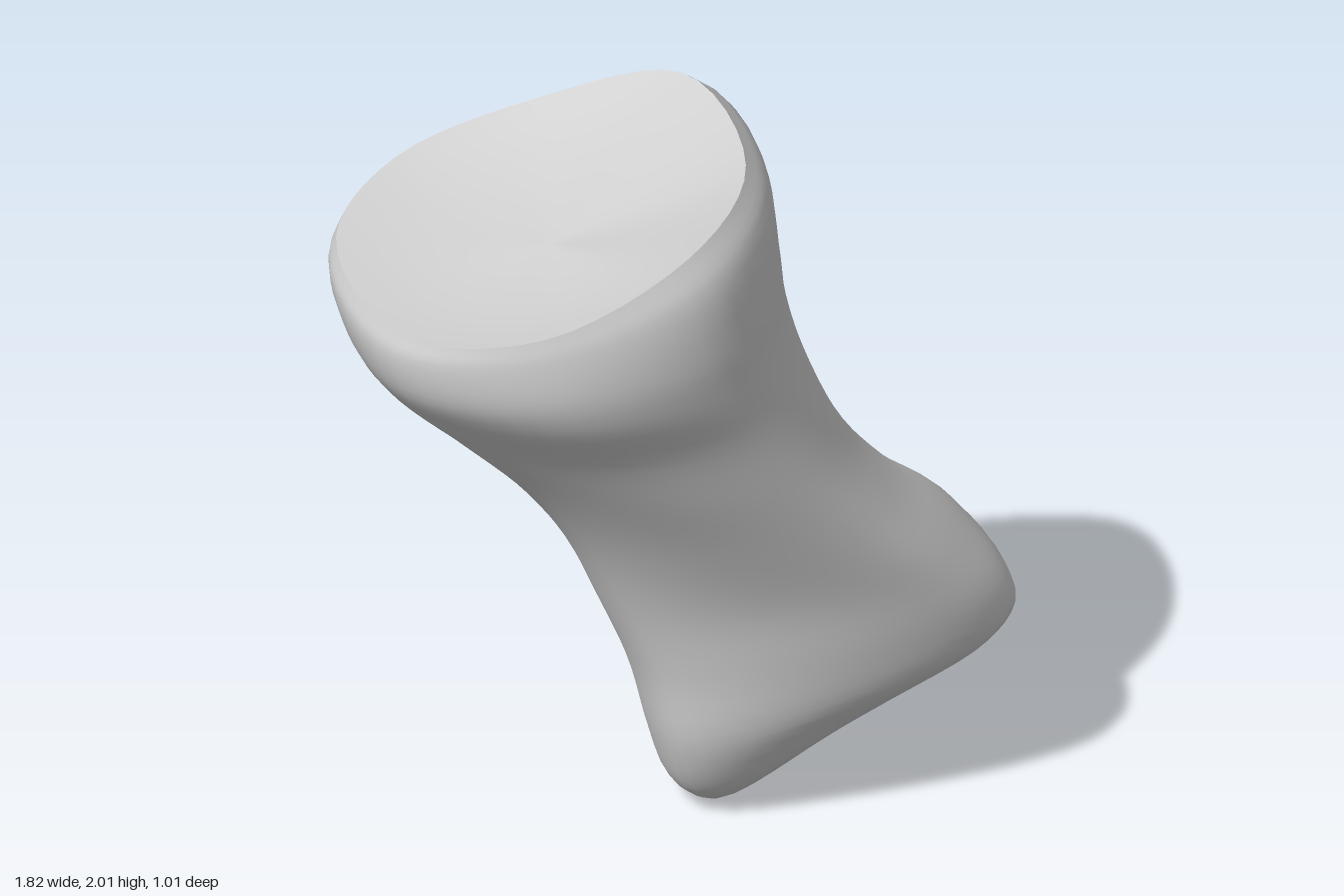
import * as THREE from 'three';
import { mergeVertices } from 'three/addons/utils/BufferGeometryUtils.js';

const COLS = 48, ROWS = 56;
const material = new THREE.MeshStandardMaterial({ color: 0xcccccc });

// Cross-sections from the socket rim down to the condyles:
// left end x,y, right end x,y, then z at left, front x3, right, back x3
const SECTIONS = [
  [-0.89, 1.66, 0.19, 1.92, -0.08, 0.30, 0.47, 0.39, 0.02, -0.36, -0.42, -0.32],
  [-0.91, 1.60, 0.25, 1.84, -0.08, 0.31, 0.49, 0.41, 0.00, -0.42, -0.49, -0.35],
  [-0.87, 1.46, 0.28, 1.66, -0.06, 0.31, 0.50, 0.40, 0.00, -0.41, -0.48, -0.33],
  [-0.79, 1.33, 0.30, 1.50, -0.05, 0.27, 0.47, 0.36, 0.00, -0.37, -0.44, -0.30],
  [-0.62, 1.18, 0.36, 1.30, -0.04, 0.22, 0.375, 0.28, -0.02, -0.31, -0.37, -0.27],
  [-0.43, 1.00, 0.46, 1.08, -0.05, 0.16, 0.295, 0.20, -0.06, -0.30, -0.33, -0.26],
  [-0.30, 0.82, 0.59, 0.90, -0.08, 0.11, 0.22, 0.12, -0.14, -0.35, -0.30, -0.26],
  [-0.20, 0.60, 0.76, 0.72, -0.10, 0.08, 0.15, 0.03, -0.24, -0.49, -0.28, -0.28],
  [-0.12, 0.40, 0.88, 0.57, -0.13, 0.08, 0.12, -0.04, -0.28, -0.48, -0.29, -0.33],
  [-0.07, 0.20, 0.91, 0.48, -0.15, 0.09, 0.09, -0.08, -0.28, -0.41, -0.34, -0.41],
];
// Closing sections of the lower joint surface, ending in a line
const END = [
  [-0.03, 0.08, 0.88, 0.43, -0.16, 0.05, 0.05, -0.10, -0.27, -0.37, -0.36, -0.40],
  [0.03, 0.025, 0.84, 0.41, -0.17, 0.01, 0.01, -0.13, -0.26, -0.34, -0.34, -0.38],
  [0.08, 0.01, 0.81, 0.40, -0.17, -0.05, -0.05, -0.17, -0.26, -0.31, -0.29, -0.33],
  [0.12, 0.00, 0.78, 0.39, -0.18, -0.19, -0.18, -0.24, -0.25, -0.24, -0.18, -0.19],
];
const TILT = [0.28, 0.25, 0.18, 0.1, 0.04]; // back of the socket end stands higher
const RIM = [0, -0.03, 0, 0.08, 0.02, 0.03, 0, 0]; // uneven height of the rim
const RIM_FADE = [1, 0.8, 0.3];
const SADDLE = [0, -0.025, 0.02, 0.01, 0, 0.01, 0.02, -0.025]; // hollow between the condyles

function ring(section, i) {
  const [lx, ly, rx, ry, ...z] = section;
  const end = Math.max(0.09, 0.15 - 0.01 * i); // ends get blunter downward
  const across = [0, end, 0.5, 1 - end, 1, 1 - end, 0.5, end];
  const points = across.map((s, k) => new THREE.Vector3(
    lx + (rx - lx) * s,
    ly + (ry - ly) * s - z[k] * (TILT[i] || 0) + RIM[k] * (RIM_FADE[i] || 0)
      + (i > 9 ? SADDLE[k] : 0),
    z[k]));
  const curve = new THREE.CatmullRomCurve3(points, true);
  return Array.from({ length: COLS }, (_, j) => curve.getPoint(j / COLS));
}

// Skin a list of closed rings
function skin(rings, flip) {
  const index = [];
  for (let i = 0; i < rings.length - 1; i++) {
    for (let j = 0; j < COLS; j++) {
      const k = (j + 1) % COLS;
      const a = i * COLS + j, b = i * COLS + k, c = a + COLS, d = b + COLS;
      if (flip) index.push(a, b, d, a, d, c);
      else index.push(a, c, d, a, d, b);
    }
  }
  const geometry = new THREE.BufferGeometry().setFromPoints(rings.flat());
  geometry.setIndex(index);
  const welded = mergeVertices(geometry, 1e-4);
  welded.computeVertexNormals();
  return welded;
}

export function createModel() {
  const group = new THREE.Group();
  group.name = 'fingerBone';
  const add = (name, geometry) => {
    const mesh = new THREE.Mesh(geometry, material);
    mesh.name = name;
    group.add(mesh);
  };

  // Shaft with flared socket end and two condyles
  const rings = [...SECTIONS, ...END].map(ring);
  const columns = rings[0].map((_, j) =>
    new THREE.CatmullRomCurve3(rings.map((r) => r[j])));
  const smooth = Array.from({ length: ROWS + 1 }, (_, i) =>
    columns.map((curve) => curve.getPoint(i / ROWS)));
  add('shaft', skin(smooth, false));

  // Shallow dished joint socket on top
  const centre = new THREE.Vector3(-0.33, 1.71, 0.03);
  const dish = Array.from({ length: 9 }, (_, i) => {
    const t = i / 8;
    return rings[0].map((p) => {
      const q = p.clone().lerp(centre, t);
      q.y -= 0.08 * t * (1 - t);
      return q;
    });
  });
  add('jointSocket', skin(dish, true));

  return group;
}
